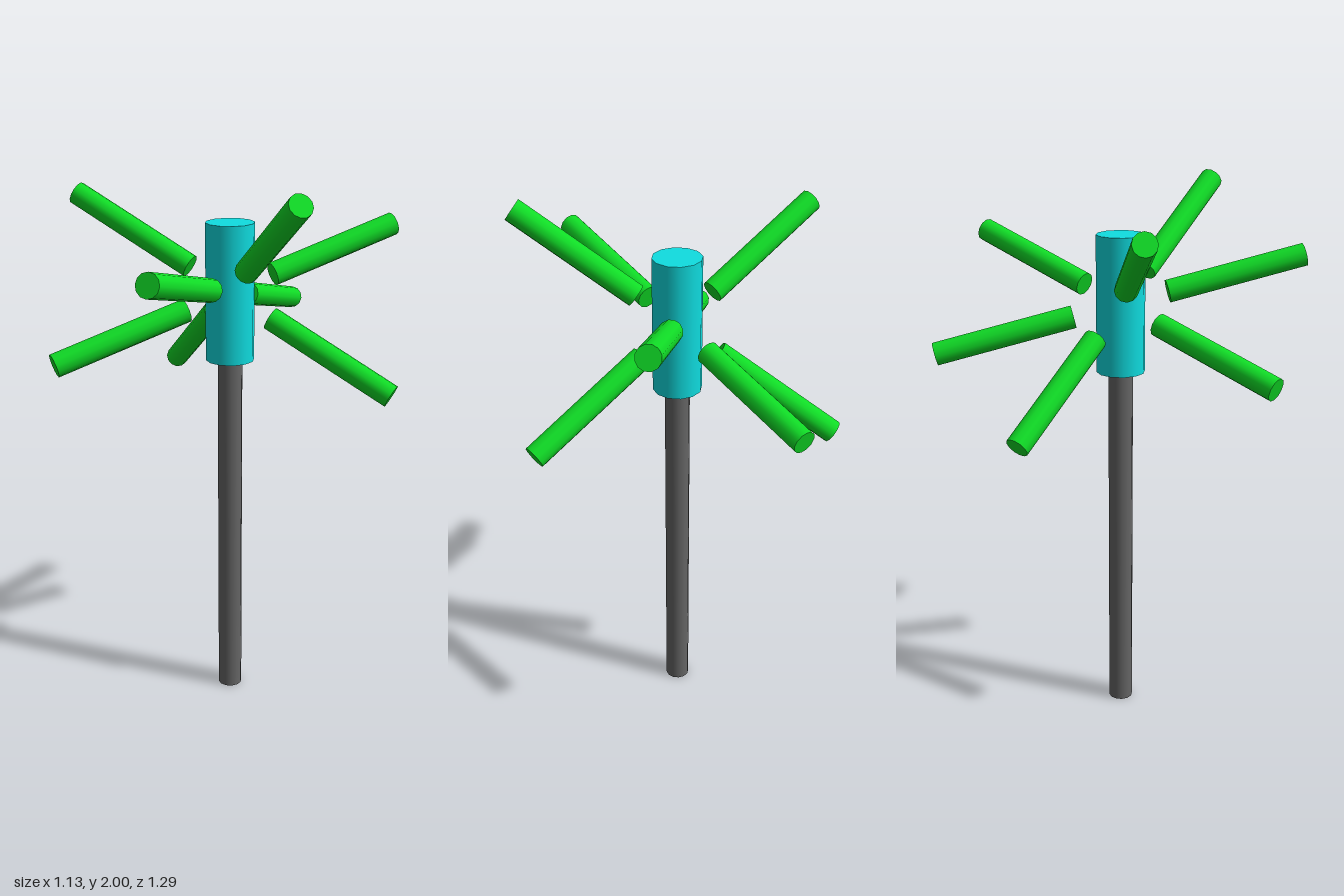
import * as THREE from 'three';

const HUB_Y = 1.583;

export function createModel() {
  const mat = (name, color) => {
    const m = new THREE.MeshStandardMaterial({ color });
    m.name = name;
    return m;
  };
  const grey = mat('post grey', 0x666666);
  const cyan = mat('hub cyan', 0x10dde0);
  const green = mat('branch green', 0x10dc26);

  const model = new THREE.Group();
  model.name = 'branchedPost';
  const add = (name, geometry, material) => {
    const mesh = new THREE.Mesh(geometry, material);
    mesh.name = name;
    model.add(mesh);
    return mesh;
  };

  // Upright post and the hub on top of it
  add('post', new THREE.CylinderGeometry(0.045, 0.045, 1.336, 12), grey).position.y = 0.668;
  add('hub', new THREE.CylinderGeometry(0.088, 0.088, 0.495, 12), cyan).position.y = HUB_Y;

  // Eight floating branches radiating from the hub centre: [heading, tilt] in degrees;
  // each has an opposite twin pointing through the centre
  const near = 0.174, far = 0.68;
  const branch = new THREE.CylinderGeometry(0.042, 0.042, far - near, 12);
  const up = new THREE.Vector3(0, 1, 0);
  const rays = [[15, 34.7], [60, 13.8], [105, -17], [150, 27.6]];
  rays.forEach(([heading, tilt], i) => {
    const a = THREE.MathUtils.degToRad(heading);
    const t = THREE.MathUtils.degToRad(tilt);
    for (const side of [1, -1]) {
      const dir = new THREE.Vector3(
        Math.cos(a) * Math.cos(t), Math.sin(t), Math.sin(a) * Math.cos(t)
      ).multiplyScalar(side);
      const mesh = add(`branch${i + (side > 0 ? 1 : 5)}`, branch, green);
      mesh.quaternion.setFromUnitVectors(up, dir);
      mesh.position.copy(dir).multiplyScalar((near + far) / 2);
      mesh.position.y += HUB_Y;
    }
  });

  return model;
}
